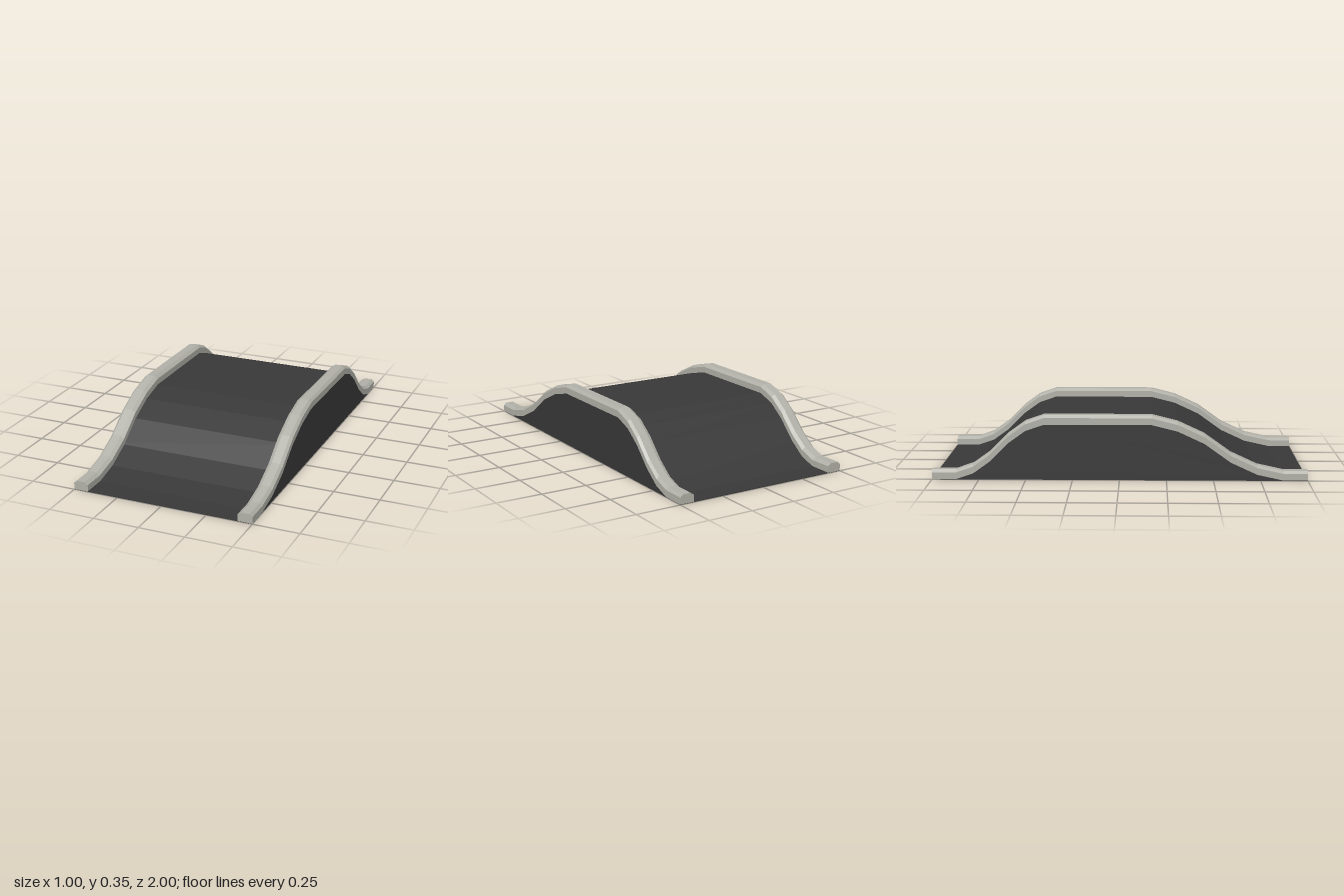
import * as THREE from 'three';

// Ramp profile from front to back: [z, y]
const PROFILE = [
  [1, 0.004], [0.87, 0.004], [0.73, 0.035], [0.59, 0.1], [0.45, 0.2], [0.31, 0.265], [0.17, 0.3],
  [-0.4, 0.3], [-0.5, 0.265], [-0.59, 0.2], [-0.69, 0.1], [-0.78, 0.035], [-0.87, 0.004], [-1, 0.004],
];

// Kerb cross-section: [x, height above the road], counter-clockwise from the front
const KERB = [[0.42, -0.002], [0.5, -0.002], [0.5, 0.034], [0.485, 0.048], [0.44, 0.048], [0.42, 0.034]];

// Sweeps a closed section along the ramp profile, with flat faces and end caps
function sweep(section) {
  const pos = [];
  const rings = PROFILE.map(([z, y]) => section.map(([x, h]) => [x, y + h, z]));
  const tri = (a, b, c) => pos.push(...a, ...b, ...c);
  const n = section.length;
  for (let i = 0; i < rings.length - 1; i++) {
    const a = rings[i], b = rings[i + 1];
    for (let j = 0; j < n; j++) {
      const k = (j + 1) % n;
      tri(a[j], b[j], b[k]);
      tri(a[j], b[k], a[k]);
    }
  }
  const front = rings[0], back = rings[rings.length - 1];
  for (let j = 1; j < n - 1; j++) {
    tri(front[0], front[j], front[j + 1]);
    tri(back[0], back[j + 1], back[j]);
  }
  const geo = new THREE.BufferGeometry();
  geo.setAttribute('position', new THREE.Float32BufferAttribute(pos, 3));
  geo.computeVertexNormals();
  return geo;
}

export function createModel() {
  const group = new THREE.Group();
  group.name = 'hump';
  const asphalt = new THREE.MeshStandardMaterial({ name: 'asphalt', color: 0x383838 });
  const concrete = new THREE.MeshStandardMaterial({ name: 'concrete', color: 0xb0b0a8 });

  // Solid road body, a hair narrower than the kerbs
  const shape = new THREE.Shape();
  shape.moveTo(0.999, 0);
  PROFILE.forEach(([z, y]) => shape.lineTo(z * 0.999, y));
  shape.lineTo(-0.999, 0);
  const width = 0.998;
  const body = new THREE.ExtrudeGeometry(shape, { depth: width, bevelEnabled: false });
  body.translate(0, 0, -width / 2).rotateY(-Math.PI / 2);
  const road = new THREE.Mesh(body, asphalt);
  road.name = 'road';
  group.add(road);

  // Kerbs along both edges
  const mirrored = KERB.map(([x, h]) => [-x, h]).reverse();
  for (const [name, section] of [['leftKerb', KERB], ['rightKerb', mirrored]]) {
    const kerb = new THREE.Mesh(sweep(section), concrete);
    kerb.name = name;
    group.add(kerb);
  }
  return group;
}
